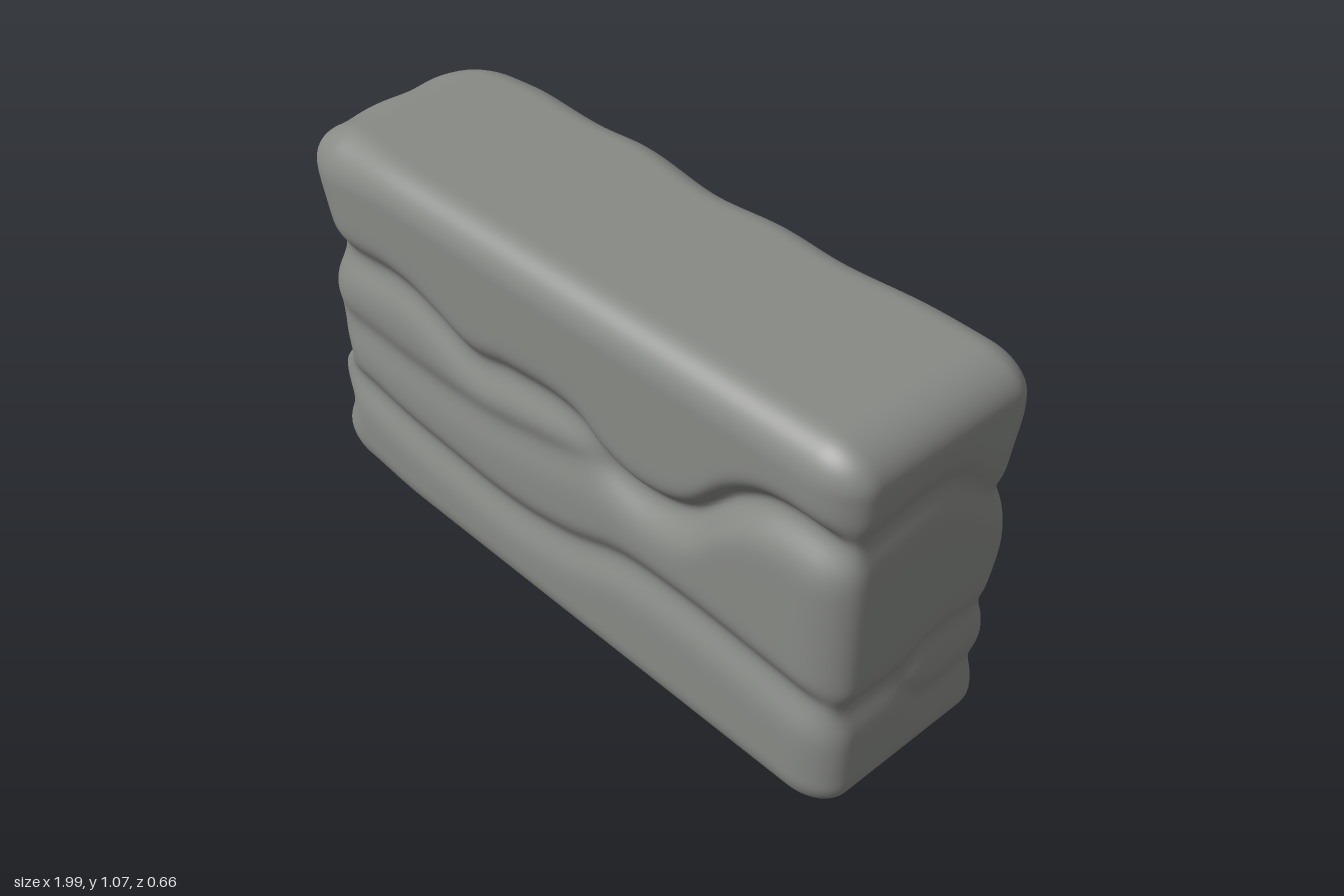
import * as THREE from 'three';
import { mergeVertices } from 'three/addons/utils/BufferGeometryUtils.js';

const W = 2, H = 1.065, D = 0.66;
const { smoothstep, lerp, clamp } = THREE.MathUtils;

// Smooth curve through [position, value] points
function curve(points) {
  const cubic = new THREE.CubicInterpolant(
    new Float32Array(points.map((p) => p[0])), new Float32Array(points.map((p) => p[1])), 1);
  return (t) => cubic.evaluate(t)[0];
}
const stratum = (depth, points) => ({ depth, line: curve(points) });

// Crack between strata: sharp overhang above, soft ledge below
const crack = (t, depth, up, down) => depth * Math.exp(-((t / (t > 0 ? up : down)) ** 2));

// Strata lines: height along each face
const frontLines = [
  stratum(0.036, [[-0.87, 0.73], [-0.5, 0.735], [-0.4, 0.71], [-0.25, 0.665], [-0.1, 0.69], [0.15, 0.69], [0.25, 0.635], [0.38, 0.605], [0.52, 0.645], [0.65, 0.765], [0.75, 0.815], [1, 0.82]]),
  stratum(0.016, [[-0.87, 0.515], [-0.2, 0.515], [0, 0.55], [0.2, 0.59], [0.38, 0.605], [0.52, 0.645], [0.65, 0.765], [0.75, 0.815], [1, 0.82]]),
  stratum(0.03, [[-0.87, 0.315], [-0.4, 0.275], [-0.1, 0.265], [0.1, 0.295], [0.3, 0.355], [0.5, 0.365], [0.8, 0.35], [1, 0.335]]),
];
const backLines = [
  stratum(0.04, [[-0.95, 0.73], [-0.6, 0.72], [-0.1, 0.73], [0.2, 0.69], [0.35, 0.66], [0.5, 0.75], [1, 0.75]]),
  stratum(0.03, [[-0.95, 0.4], [-0.15, 0.42], [0.3, 0.43], [0.6, 0.39], [1, 0.38]]),
  stratum(0.03, [[-0.95, 0.2], [-0.25, 0.21], [-0.1, 0.28], [0.3, 0.27], [1, 0.21]]),
  stratum(0.012, [[-0.95, 0.57], [-0.3, 0.57], [0.1, 0.64], [0.35, 0.66], [0.5, 0.75], [1, 0.75]]),
];
const rightLines = [
  stratum(0.018, [[-0.25, 0.72], [-0.2, 0.76], [-0.1, 0.82], [0, 0.85], [0.33, 0.82]]),
  stratum(0.014, [[-0.25, 0.38], [0, 0.38], [0.1, 0.345], [0.33, 0.335]]),
  stratum(0.012, [[-0.25, 0.21], [0, 0.22], [0.1, 0.31], [0.33, 0.335]]),
];

// Upright joints in the back face: x, lowest y, highest y
const backJoints = [[0.65, 0, 0.22], [-0.15, 0.08, 0.42], [0.35, 0.45, 0.72], [-0.5, 0.44, 0.7], [0.05, 0.76, 1]];

// Weathered outlines of the back and left end
const backByHeight = curve([[0, 0.055], [0.1, 0.045], [0.21, 0.05], [0.28, 0.035], [0.41, 0.04], [0.55, 0.01], [0.73, 0.035], [0.82, 0.025], [0.93, 0], [1.07, 0.025]]);
const backByLength = curve([[-0.95, 0.01], [-0.75, 0], [-0.4, 0.025], [-0.25, 0.01], [0.05, 0.055], [0.25, 0.035], [0.45, 0.05], [0.7, 0.03], [1, 0.045]]);
const leftByHeight = curve([[0, 0.07], [0.11, 0.015], [0.22, 0.08], [0.3, 0.04], [0.38, 0.12], [0.46, 0.08], [0.57, 0.04], [0.73, 0.12], [0.82, 0.06], [0.95, 0], [1.07, 0.05]]);

const sumCracks = (lines, along, y, up, down) =>
  lines.reduce((s, l) => s + crack(y - l.line(along), l.depth, up, down), 0);

function backCracks(x, y) {
  let depth = sumCracks(backLines, x, y, 0.045, 0.055);
  for (const [jx, lo, hi] of backJoints) {
    const within = smoothstep(y, lo - 0.05, lo + 0.05) * (1 - smoothstep(y, hi - 0.05, hi + 0.05));
    depth += within * crack(x - jx, 0.018, 0.045, 0.1);
  }
  return depth;
}

function leftInset(y, z) {
  const side = (z / 0.33) ** 2;
  const sway = 0.02 * Math.sin(z * 9);
  const ripple = 0.006 * (2 + Math.sin(z * 27 + y * 9) + Math.sin(z * 13 - y * 17));
  return leftByHeight(y + sway) * (1 - 0.5 * side) + ripple + 0.07 * side;
}

// Rounded block whose sides are pushed in along the strata
function createRock() {
  const geometry = new THREE.BoxGeometry(W, H, D, 140, 90, 50);
  geometry.deleteAttribute('uv');
  geometry.deleteAttribute('normal');
  const rock = mergeVertices(geometry, 1e-5);
  const pos = rock.attributes.position;
  const p = new THREE.Vector3(), core = new THREE.Vector3(), n = new THREE.Vector3();
  const radius = new THREE.Vector3();
  for (let i = 0; i < pos.count; i++) {
    p.fromBufferAttribute(pos, i);
    // Elliptical edges, longer along x and larger at the worn left end
    const worn = 1 - smoothstep(p.x, -1, -0.5);
    radius.set(lerp(0.13, 0.15, worn), lerp(0.1, 0.13, worn), lerp(0.085, 0.12, worn));
    core.set(
      clamp(p.x, -W / 2 + radius.x, W / 2 - radius.x),
      clamp(p.y, -H / 2 + radius.y, H / 2 - radius.y),
      clamp(p.z, -D / 2 + radius.z, D / 2 - radius.z));
    n.subVectors(p, core).divide(radius).normalize();
    p.copy(n).multiply(radius).add(core);
    p.y += H / 2;
    const { x, y, z } = p;
    // Broad weathering moves the whole back and left end, edges included
    p.z += (backByHeight(y) + backByLength(x) * 0.8) * (1 - smoothstep(z, -0.22, 0.1));
    p.x += leftInset(y, z) * (1 - smoothstep(x, -0.88, -0.5));
    // Narrow cracks cut only into the upright faces
    if (n.z > 0) p.z -= n.z ** 2 * sumCracks(frontLines, x, y, 0.045, 0.065);
    if (n.z < 0) p.z += n.z ** 2 * backCracks(x, y);
    if (n.x > 0) p.x -= n.x ** 2 * sumCracks(rightLines, z, y, 0.04, 0.06);
    pos.setXYZ(i, p.x, p.y, p.z);
  }
  rock.computeVertexNormals();
  return rock;
}

export function createModel() {
  const stone = new THREE.MeshStandardMaterial({ color: 0x888a86 });
  stone.name = 'stoneGrey';
  const rock = new THREE.Mesh(createRock(), stone);
  rock.name = 'layeredRock';
  const group = new THREE.Group();
  group.name = 'rockBlock';
  group.add(rock);
  return group;
}
